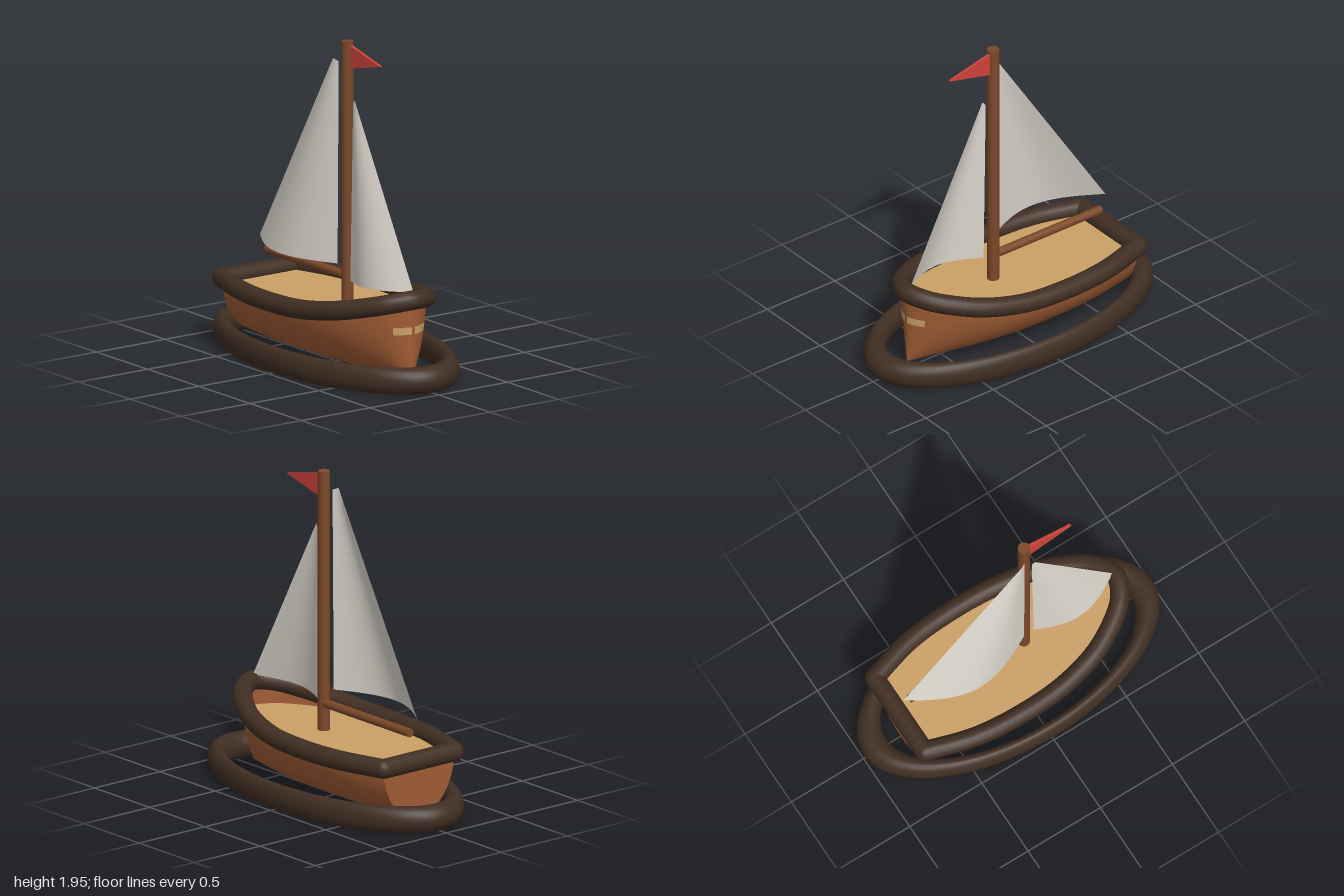
import * as THREE from 'three';

const mat = (name, color, side = THREE.FrontSide) => {
  const m = new THREE.MeshStandardMaterial({ color, side });
  m.name = name;
  return m;
};

// Smooth surface from a rule f(u, v) -> [x, y, z]
function surface(f, nu, nv) {
  const pos = [], idx = [];
  for (let i = 0; i <= nu; i++)
    for (let j = 0; j <= nv; j++) pos.push(...f(i / nu, j / nv));
  for (let i = 0; i < nu; i++)
    for (let j = 0; j < nv; j++) {
      const a = i * (nv + 1) + j, b = a + nv + 1;
      idx.push(a, b, a + 1, b, b + 1, a + 1);
    }
  const g = new THREE.BufferGeometry();
  g.setAttribute('position', new THREE.Float32BufferAttribute(pos, 3));
  g.setIndex(idx);
  g.computeVertexNormals();
  return g;
}

export function createModel() {
  const group = new THREE.Group();
  const hullWood = mat('hull wood', 0xa05c35, THREE.DoubleSide);
  const sparWood = mat('spar wood', 0x7a4829);
  const darkWood = mat('dark trim', 0x402e22);
  const deckWood = mat('deck tan', 0xcaa066, THREE.DoubleSide);
  const canvas = mat('sail canvas', 0xdcd7ce, THREE.DoubleSide);
  const red = mat('flag red', 0xcc433a);

  const add = (name, geometry, material, x = 0, y = 0, z = 0) => {
    const m = new THREE.Mesh(geometry, material);
    m.name = name;
    m.position.set(x, y, z);
    group.add(m);
    return m;
  };

  // Base ring
  const ring = add('baseRing', new THREE.TorusGeometry(0.92, 0.08, 24, 96), darkWood, 0, 0.08, 0);
  ring.rotation.x = Math.PI / 2;
  ring.scale.y = 0.5;

  // Sheer line: half outline in plan, mirrored around the bow
  const half = [[-0.75, 0.27], [-0.45, 0.355], [-0.15, 0.38], [0.15, 0.365],
    [0.42, 0.3], [0.62, 0.19], [0.7, 0.115], [0.75, 0]];
  const sheer = x => 0.385 + 0.135 * Math.max(0, (x + 0.1) / 0.85) ** 2;
  const outline = [...half, ...half.slice(0, -1).reverse().map(([x, z]) => [x, -z])];
  const rail = new THREE.CatmullRomCurve3(outline.map(([x, z]) => new THREE.Vector3(x, sheer(x), z)));

  // Hull: elliptical sections hung from the sheer line
  const keel = 0.04;
  const hullAt = (p, y) => {
    const t = Math.min(1, (p.y - y) / (p.y - keel));
    return [p.x, y, p.z * Math.sqrt(1 - t * t)];
  };
  add('hull', surface((u, v) => {
    const p = rail.getPoint(u);
    return hullAt(p, p.y - (p.y - keel) * Math.sin(v * Math.PI / 2));
  }, 84, 16), hullWood);

  // Flat stern panel
  const stern = rail.getPoint(0);
  add('transom', surface((u, v) => {
    const y = stern.y - (stern.y - keel) * Math.sin(v * Math.PI / 2);
    const p = hullAt(stern, y);
    return [p[0], y, p[2] * (1 - 2 * u)];
  }, 2, 16), hullWood);

  // Deck
  const deckShape = new THREE.Shape(rail.getPoints(84).map(p => new THREE.Vector2(p.x * 0.99, p.z * 0.96)));
  add('deck', new THREE.ShapeGeometry(deckShape).rotateX(-Math.PI / 2), deckWood, 0, 0.37, 0);

  // Gunwale with stern bar and rounded corners
  const railRadius = 0.058;
  add('gunwale', new THREE.TubeGeometry(rail, 96, railRadius, 16), darkWood);
  add('sternRail', new THREE.CylinderGeometry(railRadius, railRadius, 0.54, 16).rotateX(Math.PI / 2),
    darkWood, -0.75, 0.385, 0);
  for (const side of [-1, 1])
    add('railCorner', new THREE.SphereGeometry(railRadius, 16, 12), darkWood, -0.75, 0.385, 0.27 * side);

  // Thin bow plates that follow the hull
  for (const side of [-1, 1])
    add('bowPlate', surface((u, v) => {
      const p = rail.getPoint(0.5 - side * (0.004 + 0.068 * u));
      const [x, y, z] = hullAt(p, 0.315 + 0.045 * v);
      return [x + 0.005, y, z + 0.004 * side];
    }, 8, 2), deckWood);

  // Mast and boom
  add('mast', new THREE.CylinderGeometry(0.036, 0.036, 1.59, 24), sparWood, 0.11, 1.155, 0);
  add('boom', new THREE.CylinderGeometry(0.026, 0.026, 0.77, 16).rotateZ(Math.PI / 2),
    sparWood, -0.295, 0.535, -0.005);

  // Sails: four corners with a belly that fades towards the peak
  const sail = (name, tack, clew, peakLuff, peakLeech, belly) => {
    const [a, b, c, d] = [tack, clew, peakLuff, peakLeech].map(p => new THREE.Vector3(...p));
    add(name, surface((u, v) => {
      const foot = a.clone().lerp(b, u), head = c.clone().lerp(d, u);
      const p = foot.lerp(head, v);
      p.z += belly * Math.sin(Math.PI * u) * (1 - v);
      return p.toArray();
    }, 24, 24), canvas);
  };
  sail('mainSail', [0.08, 0.61, 0.05], [-0.73, 0.615, 0.01], [0.085, 1.83, 0.045], [0.055, 1.845, 0.065], 0.15);
  sail('jib', [0.165, 0.52, 0.02], [0.735, 0.56, -0.015], [0.165, 1.585, 0], [0.185, 1.61, 0.005], 0.095);

  // Pennant
  const flag = new THREE.Shape([[0.14, 1.79], [0.435, 1.86], [0.14, 1.93]].map(p => new THREE.Vector2(...p)));
  add('flag', new THREE.ExtrudeGeometry(flag, { depth: 0.018, bevelEnabled: false }), red, 0, 0, -0.012);

  return group;
}
